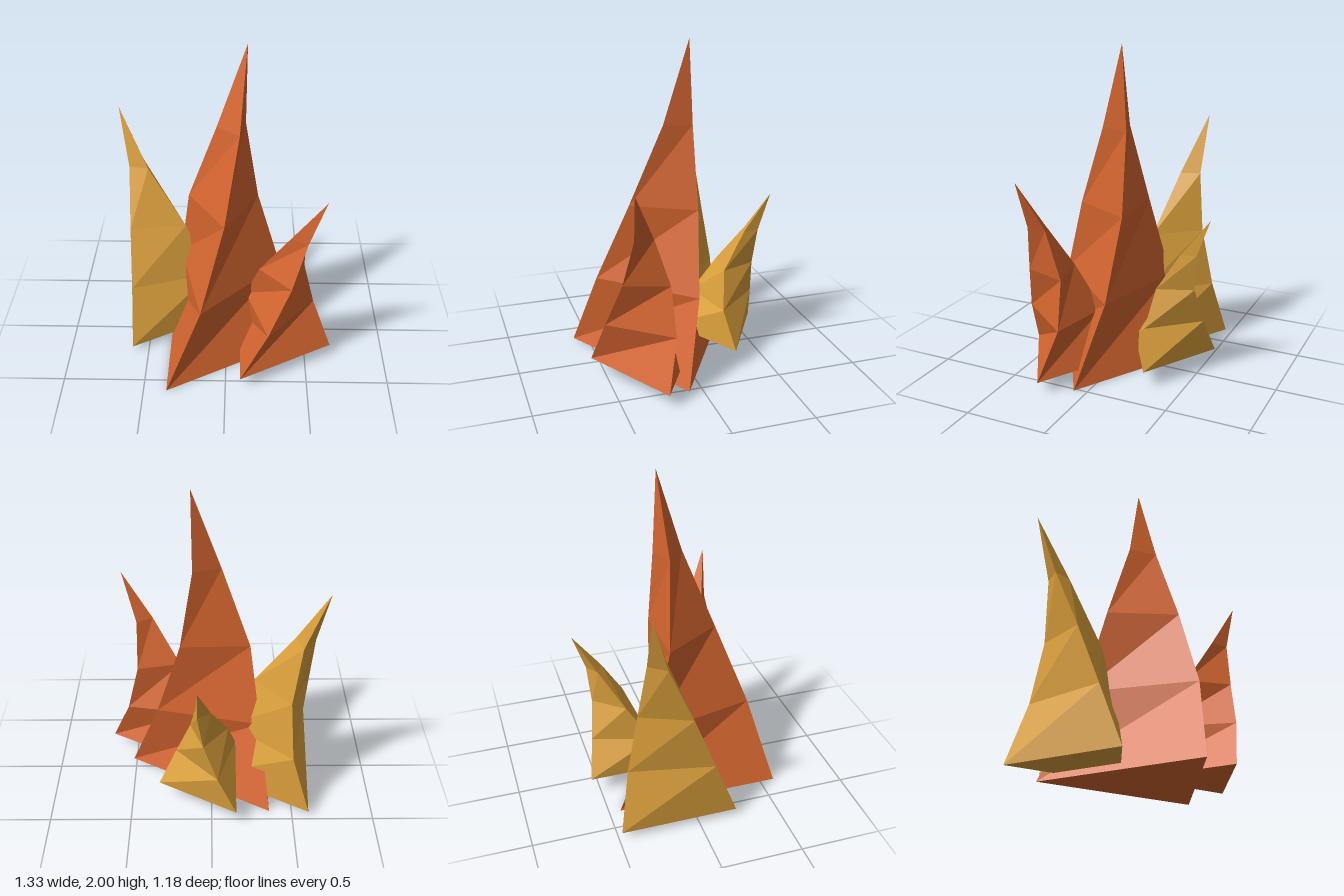
import * as THREE from 'three';

const orange = new THREE.MeshStandardMaterial({ color: 0xd4652f, flatShading: true });
orange.name = 'flame orange';
const yellow = new THREE.MeshStandardMaterial({ color: 0xdba03c, flatShading: true });
yellow.name = 'flame yellow';

// Twisted three-sided spike: evenly spaced triangular rings of [x, z] corners,
// closed underneath and running to a point.
function flame(name, material, y0, y1, rings, tip) {
  const pos = [];
  const step = (y1 - y0) / rings.length;
  const at = (k, i) => {
    const [x, z] = k < rings.length ? rings[k][i % 3] : tip;
    return [x, y0 + step * k, z];
  };
  const tri = (...corners) => corners.forEach((c) => pos.push(...c));
  tri(at(0, 0), at(0, 2), at(0, 1)); // underside
  for (let k = 0; k < rings.length; k++) {
    for (let i = 0; i < 3; i++) {
      tri(at(k, i), at(k, i + 1), at(k + 1, i + 1));
      if (k < rings.length - 1) tri(at(k, i), at(k + 1, i + 1), at(k + 1, i));
    }
  }
  const geo = new THREE.BufferGeometry();
  geo.setAttribute('position', new THREE.Float32BufferAttribute(pos, 3));
  geo.computeVertexNormals();
  const mesh = new THREE.Mesh(geo, material);
  mesh.name = name;
  return mesh;
}

export function createModel() {
  const group = new THREE.Group();
  group.name = 'flames';
  group.add(
    flame('mainFlame', orange, 0, 2, [
      [[-0.36, 0.59], [0.52, 0.08], [-0.36, -0.43]],
      [[-0.15, 0.47], [0.34, -0.04], [-0.3, -0.19]],
      [[-0.01, 0.29], [0.19, -0.08], [-0.235, -0.07]],
      [[0.075, 0.1], [0.11, -0.07], [-0.06, -0.015]],
    ], [0.115, -0.045]),
    flame('leftFlame', orange, 0.08, 1.25, [
      [[0.09, 0.57], [0.66, 0.245], [0.09, -0.08]],
      [[0.255, 0.515], [0.545, 0.165], [0.12, 0.09]],
      [[0.388, 0.44], [0.475, 0.178], [0.2, 0.233]],
      [[0.475, 0.39], [0.475, 0.275], [0.375, 0.335]],
    ], [0.57, 0.408]),
    flame('rightFlame', yellow, 0.04, 1.485, [
      [[-0.6, 0.24], [0.02, -0.12], [-0.6, -0.48]],
      [[-0.6, 0.1], [-0.106, -0.065], [-0.495, -0.41]],
      [[-0.605, -0.04], [-0.26, -0.085], [-0.475, -0.34]],
      [[-0.608, -0.195], [-0.49, -0.175], [-0.53, -0.295]],
    ], [-0.665, -0.3]),
    flame('backFlame', yellow, 0.11, 1.02, [
      [[-0.15, -0.01], [0.33, -0.285], [-0.15, -0.56]],
      [[-0.15, -0.16], [0.22, -0.24], [-0.035, -0.52]],
      [[-0.1, -0.31], [0.13, -0.275], [0.05, -0.49]],
      [[0.005, -0.455], [0.095, -0.415], [0.085, -0.51]],
    ], [0.08, -0.59]),
  );
  return group;
}
